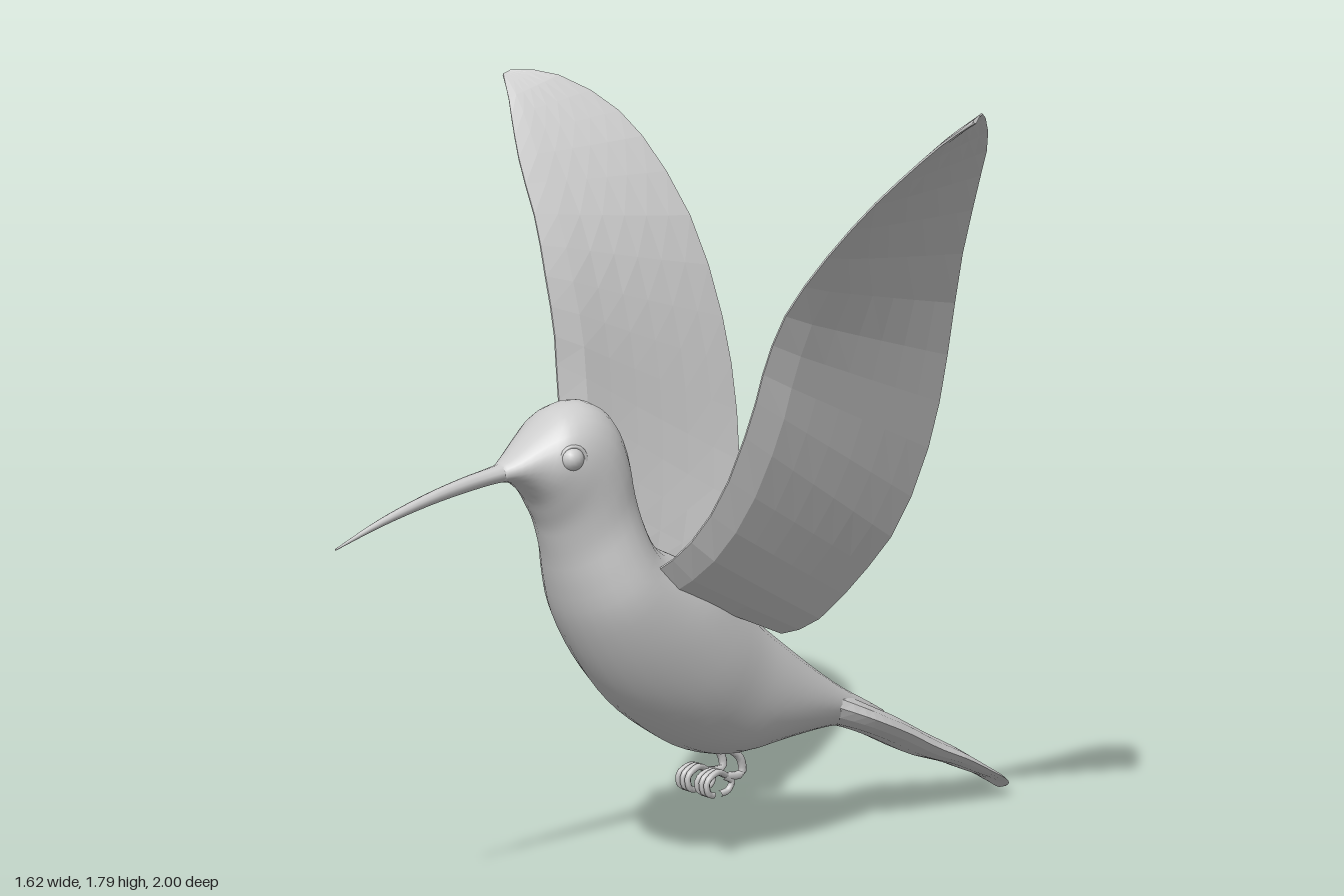
import * as THREE from 'three';

const V = (x, y, z) => new THREE.Vector3(x, y, z);
const mat = (flat = false) => new THREE.MeshStandardMaterial({ color: 0xcccccc, flatShading: flat });

// Skins a list of closed rings, caps both ends, and turns all faces outward.
function skin(rings) {
  const n = rings[0].length, pos = [], idx = [];
  rings.forEach(r => r.forEach(p => pos.push(p.x, p.y, p.z)));
  for (let i = 0; i < rings.length - 1; i++) {
    for (let j = 0; j < n; j++) {
      const a = i * n + j, b = i * n + (j + 1) % n;
      idx.push(a, b, a + n, b, b + n, a + n);
    }
  }
  [0, rings.length - 1].forEach(r => {
    const c = pos.length / 3;
    const m = rings[r].reduce((s, p) => s.add(p), V(0, 0, 0)).divideScalar(n);
    pos.push(m.x, m.y, m.z);
    for (let j = 0; j < n; j++) {
      const a = r * n + j, b = r * n + (j + 1) % n;
      if (r === 0) idx.push(c, b, a); else idx.push(c, a, b);
    }
  });
  // signed volume decides the winding
  const at = i => V(pos[i * 3], pos[i * 3 + 1], pos[i * 3 + 2]);
  let vol = 0;
  for (let k = 0; k < idx.length; k += 3) vol += at(idx[k]).dot(at(idx[k + 1]).cross(at(idx[k + 2])));
  if (vol < 0) idx.reverse();
  const g = new THREE.BufferGeometry();
  g.setAttribute('position', new THREE.Float32BufferAttribute(pos, 3));
  g.setIndex(idx);
  g.computeVertexNormals();
  return g;
}

// Elliptical loft. Each section: [top z, top y, bottom z, bottom y, half width, centre x]
function loft(sections, steps, sides) {
  const top = new THREE.CatmullRomCurve3(sections.map(s => V(s[4], s[1], s[0])), false, 'catmullrom');
  const low = new THREE.CatmullRomCurve3(sections.map(s => V(s[5] || 0, s[3], s[2])), false, 'catmullrom');
  const rings = [];
  for (let i = 0; i <= steps; i++) {
    const a = top.getPoint(i / steps), b = low.getPoint(i / steps), ring = [];
    for (let j = 0; j < sides; j++) {
      const t = j / sides * Math.PI * 2, k = (1 + Math.cos(t)) / 2;
      ring.push(V(b.x + a.x * Math.sin(t), b.y + (a.y - b.y) * k, b.z + (a.z - b.z) * k));
    }
    rings.push(ring);
  }
  return skin(rings);
}

// Cambered wing between a leading and a trailing edge, thick along the arm.
function wing(side) {
  const lead = [[.12, .74, .22], [.21, .81, .2], [.28, .93, .16], [.34, 1.1, .13], [.37, 1.22, .115], [.42, 1.34, .1],
    [.5, 1.46, .065], [.6, 1.575, .03], [.68, 1.66, -.01], [.75, 1.73, -.05], [.81, 1.775, -.08]];
  const trail = [[.11, .54, -.17], [.17, .57, -.22], [.22, .67, -.31], [.28, .8, -.38], [.34, 1, -.42], [.39, 1.2, -.42],
    [.46, 1.42, -.39], [.56, 1.6, -.34], [.65, 1.71, -.28], [.74, 1.78, -.18], [.805, 1.788, -.1]];
  const curve = list => new THREE.CatmullRomCurve3(list.map(p => V(...p)), false, 'catmullrom');
  const A = curve(lead), B = curve(trail), rings = [], cols = 7, rows = 18;
  for (let i = 0; i <= rows; i++) {
    const u = i / rows, a = A.getPoint(u), b = B.getPoint(u);
    const chord = b.clone().sub(a);
    const nrm = chord.clone().cross(A.getTangent(u)).normalize();
    if (nrm.x < 0) nrm.negate();
    const thick = .004 + .026 * Math.max(0, 1 - u * 1.6);
    const point = (s, sign) => {
      const half = thick * Math.pow(1 - s, 1.5) * Math.sqrt(Math.min(1, s * 8)) + .002;
      const camber = .07 * chord.length() * s * (1 - s) * (1 - u);
      const p = a.clone().addScaledVector(chord, s).addScaledVector(nrm, sign * half + camber);
      p.x *= side;
      return p;
    };
    const ring = [];
    for (let j = 0; j <= cols; j++) ring.push(point(j / cols, 1));
    for (let j = cols; j >= 0; j--) ring.push(point(j / cols, -1));
    rings.push(ring);
  }
  return skin(rings);
}

export function createModel() {
  const bird = new THREE.Group();
  bird.name = 'hoveringBird';
  const add = (name, geo, flat, parent = bird) => {
    const m = new THREE.Mesh(geo, mat(flat));
    m.name = name;
    parent.add(m);
    return m;
  };

  // Head, neck and body in one skin
  add('body', loft([
    [.57, 1.005, .57, .97, .022], [.53, 1.03, .535, .965, .045], [.46, 1.085, .505, .945, .075],
    [.41, 1.12, .475, .915, .1], [.34, 1.13, .455, .88, .113], [.275, 1.095, .44, .85, .118],
    [.235, 1.02, .43, .82, .12], [.22, .94, .415, .77, .124], [.2, .86, .4, .71, .14],
    [.165, .79, .37, .62, .16], [.09, .75, .31, .51, .168], [0, .705, .23, .41, .168],
    [-.08, .635, .13, .33, .16], [-.17, .555, .03, .275, .142], [-.26, .485, -.09, .245, .125],
    [-.36, .41, -.24, .255, .1], [-.45, .35, -.38, .26, .07], [-.54, .3, -.48, .25, .04],
    [-.6, .265, -.58, .24, .008]], 54, 24));

  // Long bill, bent slightly down
  add('bill', loft([
    [.49, 1.03, .49, .965, .04], [.57, 1.008, .57, .968, .026], [.66, .992, .66, .957, .018],
    [.76, .968, .76, .94, .014], [.88, .93, .88, .912, .009], [1, .88, 1, .876, .002]], 20, 10));

  // Tail fan, a little fuller on one side
  add('tail', loft([
    [-.36, .38, -.36, .28, .07], [-.45, .335, -.45, .25, .095], [-.52, .3, -.52, .222, .107, -.004],
    [-.6, .262, -.6, .185, .112, -.013], [-.7, .205, -.7, .135, .11, -.012], [-.8, .15, -.8, .1, .1, -.002],
    [-.88, .1, -.88, .065, .097, -.004], [-.95, .055, -.95, .035, .077, .003],
    [-.985, .025, -.985, .012, .045, .003], [-1, .012, -1, 0, .015, -.003]], 24, 12), true);

  for (const side of [1, -1]) {
    const label = side > 0 ? 'left' : 'right';
    add(label + 'Wing', wing(side), true);

    // Eye with a thin lid ring
    const eye = add(label + 'Eye', new THREE.SphereGeometry(.028, 16, 12));
    eye.position.set(side * .089, 1.018, .43);
    const lid = add(label + 'Eyelid', new THREE.TorusGeometry(.028, .005, 6, 18));
    lid.position.set(side * .096, 1.018, .43);
    lid.rotation.y = side * 1.2;

    // Leg and curled toes
    const foot = new THREE.Group();
    foot.name = label + 'Foot';
    bird.add(foot);
    const tube = (name, pts, r) => add(name, new THREE.TubeGeometry(
      new THREE.CatmullRomCurve3(pts.map(p => V(side * p[0], p[1], p[2]))), 12, r, 6), false, foot);
    tube('leg', [[.035, .27, -.07], [.036, .235, -.11], [.034, .2, -.115], [.034, .2, -.06]], .01);
    for (const k of [-1, 0, 1]) {
      const x = .034 + k * .012;
      tube('toe', [[.034, .2, -.07], [x, .218, -.03], [x + k * .004, .2, .005],
        [x + k * .004, .172, 0], [x, .165, -.018]], .008);
    }
    tube('backToe', [[.034, .2, -.06], [.034, .185, -.085], [.032, .165, -.075], [.032, .16, -.05]], .008);
  }
  return bird;
}
